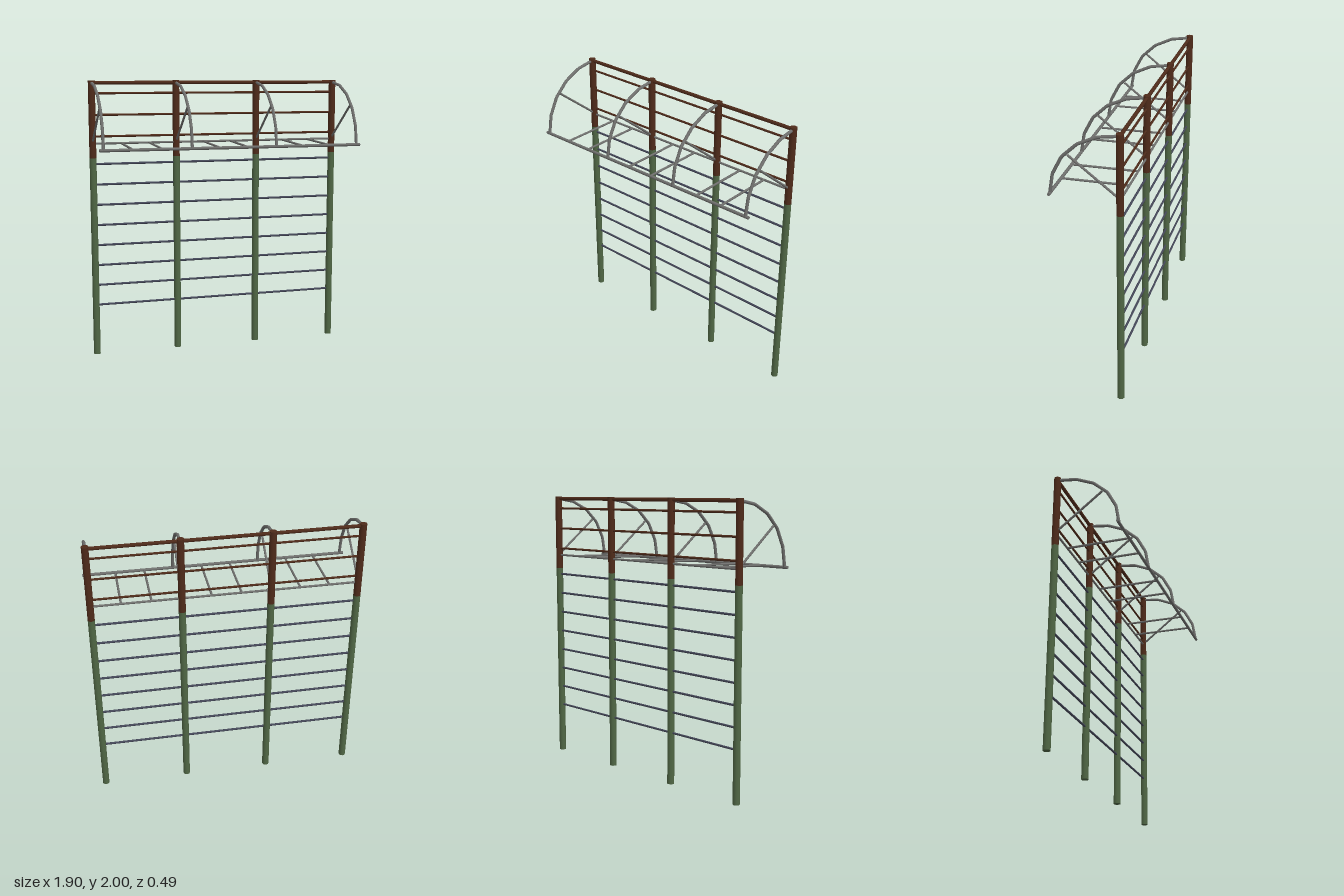
import * as THREE from 'three';

const material = (name, color) => {
  const m = new THREE.MeshStandardMaterial({ color });
  m.name = name;
  return m;
};

export function createModel() {
  const group = new THREE.Group();
  const green = material('green paint', 0x506745);
  const brown = material('brown paint', 0x4f2b1a);
  const grey = material('grey steel', 0x70706e);
  const blue = material('blue grey steel', 0x454859);

  const postX = [-0.923, -0.308, 0.308, 0.923];
  const wallZ = -0.222, barZ = 0.235, barY = 1.539, railY = 1.553;

  // Round bar between two points
  function bar(name, a, b, radius, mat, sides = 8) {
    const from = new THREE.Vector3(...a), to = new THREE.Vector3(...b);
    const dir = to.clone().sub(from);
    const mesh = new THREE.Mesh(new THREE.CylinderGeometry(radius, radius, dir.length(), sides), mat);
    mesh.position.copy(from).add(to).multiplyScalar(0.5);
    mesh.quaternion.setFromUnitVectors(new THREE.Vector3(0, 1, 0), dir.normalize());
    mesh.name = name;
    group.add(mesh);
  }
  const wallBar = (name, y, radius, mat) =>
    bar(name, [postX[0], y, wallZ], [postX[3], y, wallZ], radius, mat);

  // Two-tone posts
  for (const x of postX) {
    bar('lowerPost', [x, 0, wallZ], [x, 1.45, wallZ], 0.025, green, 10);
    bar('upperPost', [x, 1.45, wallZ], [x, 2, wallZ], 0.025, brown, 10);
  }

  // Wall rungs: eight blue below, three brown above, and the top rail
  for (let i = 0; i < 8; i++) wallBar('lowerRung', 0.37 + i * 0.148, 0.008, blue);
  for (const y of [1.604, 1.757, 1.91]) wallBar('upperRung', y, 0.008, brown);
  wallBar('topRail', 1.984, 0.013, brown);

  // Overhead ladder: rear rail, front rail and cross rungs between the posts
  wallBar('ladderRearRail', railY, 0.008, grey);
  bar('ladderFrontRail', [-0.95, barY, barZ], [0.95, barY, barZ], 0.011, grey);
  for (let i = 0; i < 3; i++) {
    for (const t of [1, 2]) {
      const x = postX[i] + (postX[i + 1] - postX[i]) * t / 3;
      bar('ladderRung', [x, railY, wallZ], [x, barY, barZ], 0.008, grey);
    }
  }

  // Faceted arches with diagonal braces at each post
  const profile = [[0.236, 1.539], [0.214, 1.675], [0.15, 1.8], [0.048, 1.898], [-0.08, 1.96], [-0.222, 1.984]];
  for (const x of postX) {
    const path = new THREE.CurvePath();
    for (let i = 0; i < profile.length - 1; i++) {
      const [z0, y0] = profile[i], [z1, y1] = profile[i + 1];
      path.add(new THREE.LineCurve3(new THREE.Vector3(x, y0, z0), new THREE.Vector3(x, y1, z1)));
    }
    const arch = new THREE.Mesh(new THREE.TubeGeometry(path, 40, 0.011, 8), grey);
    arch.name = 'arch';
    group.add(arch);
    bar('diagonalBrace', [x, 1.818, 0.113], [x, 1.56, wallZ], 0.008, grey);
  }
  return group;
}
